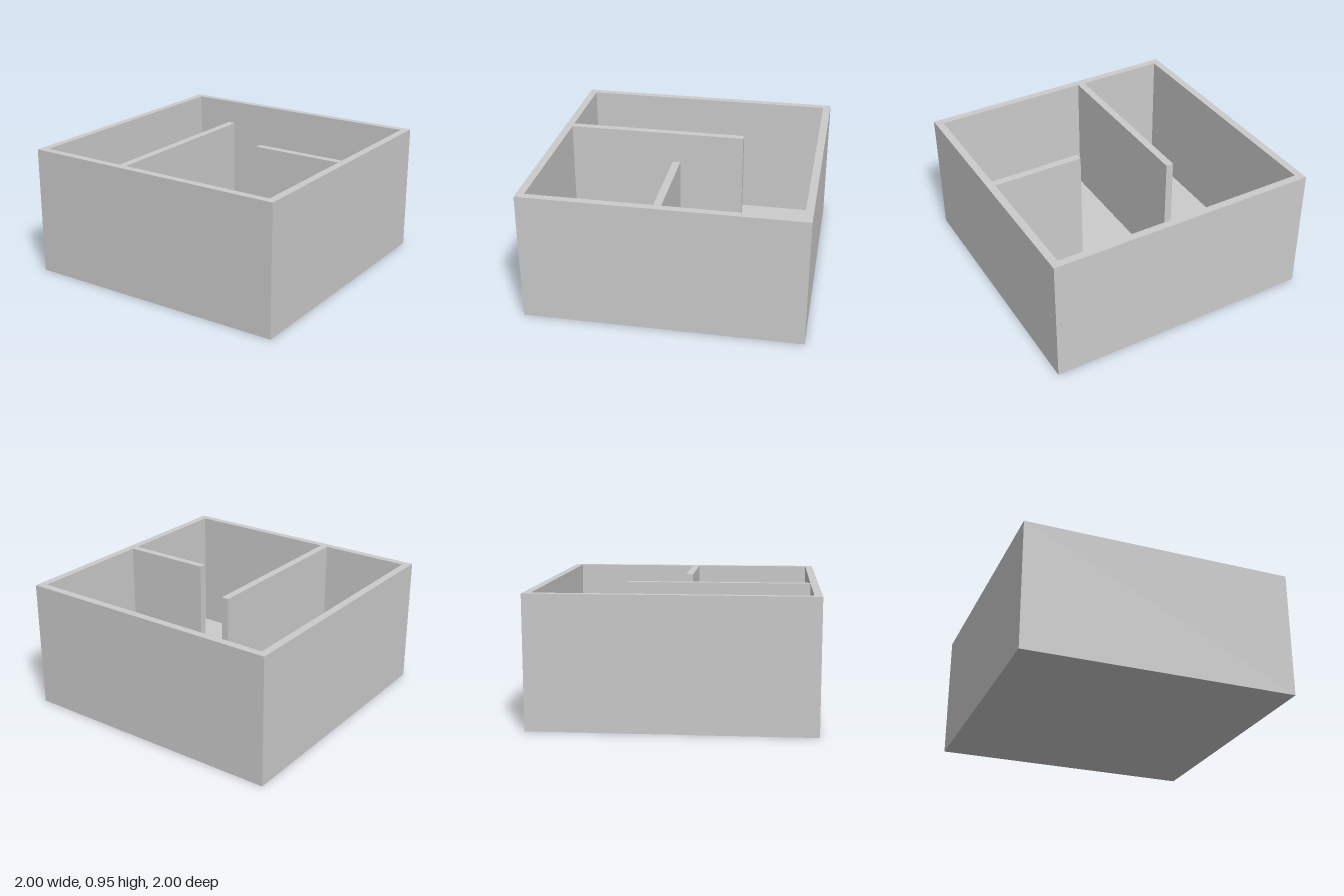
import * as THREE from 'three';

const HEIGHT = 0.947, FLOOR = 0.004, INNER = 0.944;

export function createModel() {
  const group = new THREE.Group();
  const material = new THREE.MeshStandardMaterial({ color: 0xcccccc, flatShading: true });

  // Plan points are [x, z]; the shape plane is laid flat afterwards.
  const plan = (points) => points.map(([x, z]) => new THREE.Vector2(x, -z));

  // Outer walls and both partitions share one plan: a square minus the room space.
  const outline = new THREE.Shape(plan([[-1, 1], [1, 1], [1, -1], [-1, -1]]));
  outline.holes.push(new THREE.Path(plan([
    [-INNER, -INNER], [INNER, -INNER],
    // right-hand partition stub
    [INNER, 0], [0.267, 0], [0.267, 0.055], [INNER, 0.055],
    [INNER, INNER],
    // long partition from the front wall
    [-0.222, INNER], [-0.222, -0.39], [-0.278, -0.39], [-0.278, INNER],
    [-INNER, INNER],
  ])));
  const wallGeometry = new THREE.ExtrudeGeometry(outline, { depth: HEIGHT - FLOOR, bevelEnabled: false });
  wallGeometry.rotateX(-Math.PI / 2);
  const walls = new THREE.Mesh(wallGeometry, material);
  walls.name = 'walls';
  walls.position.y = FLOOR;

  // Thin floor slab
  const floor = new THREE.Mesh(new THREE.BoxGeometry(2, FLOOR, 2), material);
  floor.name = 'floor';
  floor.position.y = FLOOR / 2;

  group.add(walls, floor);
  return group;
}
